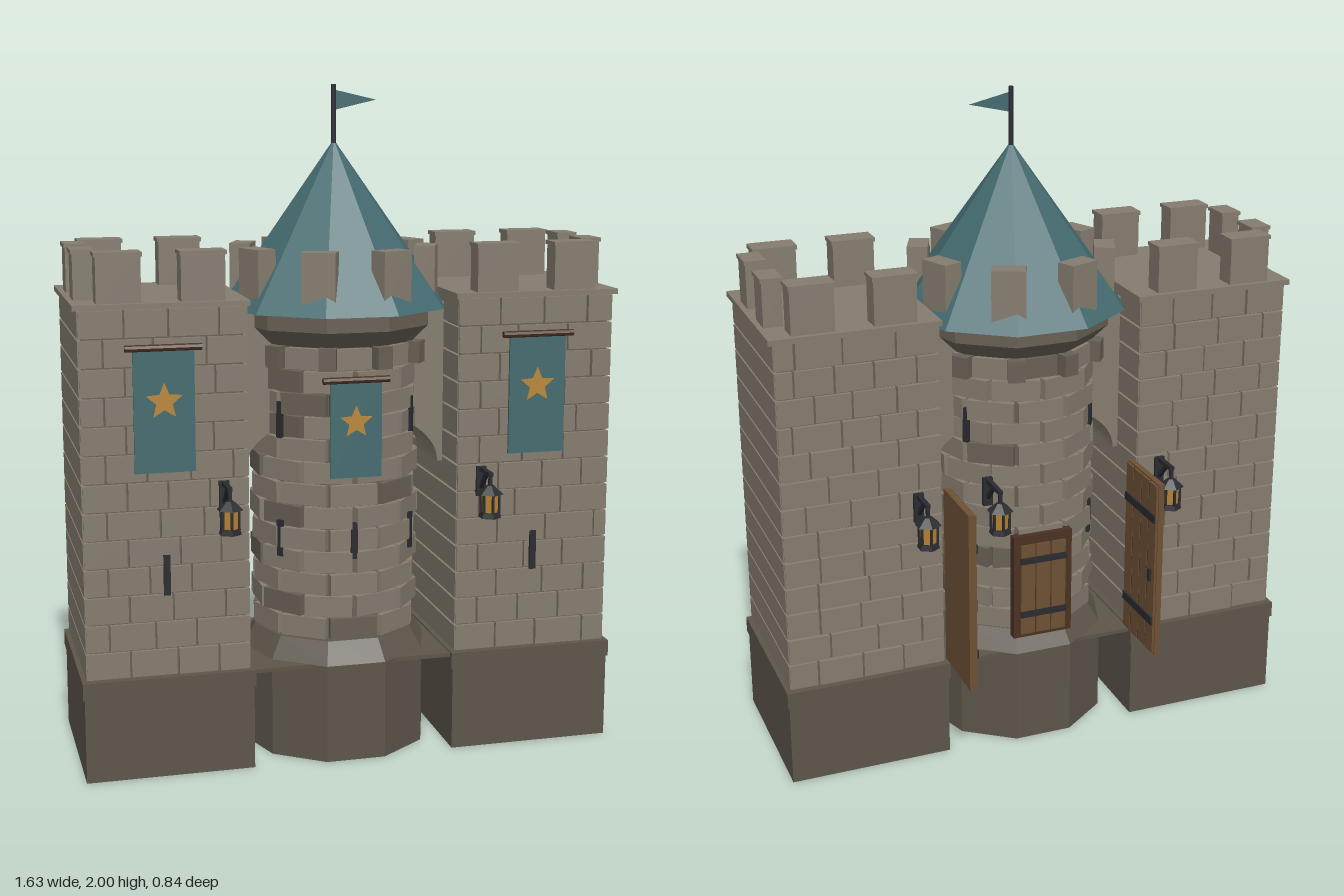
import * as THREE from 'three';

const mat = (name, color, extra = {}) => new THREE.MeshStandardMaterial({ name, color, ...extra });
const M = {
  stone: mat('stone', 0x857c6f),
  mid: mat('shadedStone', 0x686055),
  base: mat('foundationStone', 0x5c554a),
  teal: mat('tealRoofAndCloth', 0x446b70, { side: THREE.DoubleSide }),
  wood: mat('doorWood', 0x6e5135),
  darkWood: mat('darkWood', 0x4a3122),
  iron: mat('iron', 0x2a2b30),
  glow: mat('lanternGlass', 0xb98535),
  gold: mat('goldStar', 0xb9883a),
};
const CZ = 0.045; // depth centre of the castle

function add(parent, name, geo, material, x = 0, y = 0, z = 0) {
  const m = new THREE.Mesh(geo, material);
  m.name = name;
  m.position.set(x, y, z);
  parent.add(m);
  return m;
}
const box = (p, name, material, w, h, d, x, y, z) => add(p, name, new THREE.BoxGeometry(w, h, d), material, x, y, z);
function flat(geo) {
  const g = geo.index ? geo.toNonIndexed() : geo;
  g.computeVertexNormals();
  return g;
}
const prism = (rt, rb, h, n) => flat(new THREE.CylinderGeometry(rt, rb, h, n));
function group(parent, name, x = 0, y = 0, z = 0) {
  const g = new THREE.Group();
  g.name = name;
  g.position.set(x, y, z);
  parent.add(g);
  return g;
}
function seeded(seed) {
  return () => (seed = (seed * 16807) % 2147483647) / 2147483647;
}

// Iron bracket with a hanging hexagonal lantern; the wall is at local z = 0, facing +z
function lantern(parent, x, z, turn, reach = 0.09) {
  const g = group(parent, 'lantern', x, 0, z);
  g.rotation.y = turn;
  box(g, 'wallPlate', M.iron, 0.03, 0.09, 0.012, 0, 0.835, 0.004);
  box(g, 'bracketArm', M.iron, 0.014, 0.012, reach + 0.01, 0, 0.873, reach / 2);
  const brace = box(g, 'bracketBrace', M.iron, 0.012, 0.01, 0.085, 0, 0.842, 0.032);
  brace.rotation.x = -0.8;
  box(g, 'hook', M.iron, 0.01, 0.04, 0.01, 0, 0.855, reach);
  add(g, 'lanternCap', prism(0.012, 0.04, 0.025, 6), M.iron, 0, 0.828, reach);
  add(g, 'lanternGlass', prism(0.027, 0.024, 0.055, 6), M.glow, 0, 0.788, reach);
  add(g, 'lanternFoot', prism(0.03, 0.034, 0.016, 6), M.iron, 0, 0.752, reach);
  for (let i = 0; i < 6; i++) {
    const a = (i * Math.PI) / 3;
    box(g, 'lanternBar', M.iron, 0.007, 0.06, 0.007, Math.sin(a) * 0.027, 0.788, reach + Math.cos(a) * 0.027);
  }
}

// Hanging cloth with a five-pointed star and a wooden rod
function banner(parent, x, top, z, w, h, starR) {
  const g = group(parent, 'banner', x, top, z);
  box(g, 'bannerCloth', M.teal, w, h, 0.008, 0, -h / 2, 0);
  const rod = add(g, 'bannerRod', prism(0.01, 0.01, w + 0.045, 8), M.darkWood, 0, 0.005, 0.005);
  rod.rotation.z = Math.PI / 2;
  const s = new THREE.Shape();
  for (let i = 0; i < 10; i++) {
    const r = i % 2 ? starR * 0.45 : starR, a = (i * Math.PI) / 5;
    s[i ? 'lineTo' : 'moveTo'](Math.sin(a) * r, Math.cos(a) * r);
  }
  add(g, 'bannerStar', new THREE.ExtrudeGeometry(s, { depth: 0.003, bevelEnabled: false }), M.gold, 0, -h * 0.42, 0.004);
}

function merlon(parent, w, d, x, z) {
  box(parent, 'merlon', M.stone, w - 0.008, 0.14, d - 0.008, x, 1.465, z);
  box(parent, 'merlonCap', M.stone, w, 0.012, d, x, 1.537, z);
}

function wing(parent, side) {
  const g = group(parent, side > 0 ? 'leftWing' : 'rightWing');
  const cx = side * 0.5575;
  box(g, 'wingFoundation', M.base, 0.5, 0.29, 0.52, cx, 0.145, CZ);
  box(g, 'foundationLip', M.base, 0.51, 0.05, 0.53, cx, 0.28, CZ);
  box(g, 'wingCore', M.mid, 0.461, 1.09, 0.472, cx, 0.845, CZ);
  // Stone courses: running bond on front and back, long stones on the sides
  const rows = 13, h = 1.08 / rows, rnd = seeded(side > 0 ? 71 : 37);
  for (let i = 0; i < rows; i++) {
    const y = 0.305 + (i + 0.5) * h;
    for (const sx of [-1, 1]) box(g, 'sideCourse', M.stone, 0.014, h - 0.007, 0.49, cx + sx * 0.235, y, CZ);
    for (const sz of [-1, 1]) {
      let x0 = -0.242, w = i % 2 ? 0.07 : 0.13;
      while (x0 < 0.24) {
        let x1 = Math.min(x0 + w, 0.242);
        if (0.242 - x1 < 0.04) x1 = 0.242;
        box(g, 'wallStone', M.stone, x1 - x0 - 0.006, h - 0.006, 0.016, cx + (x0 + x1) / 2, y, CZ + sz * (0.238 + rnd() * 0.005));
        x0 = x1;
        w = 0.11 + rnd() * 0.05;
      }
    }
  }
  box(g, 'parapetSlab', M.stone, 0.505, 0.016, 0.51, cx + side * 0.003, 1.392, CZ);
  for (const sz of [-1, 1]) {
    for (const x of [0.68, 0.44]) merlon(g, 0.135, 0.075, side * x, CZ + sz * 0.205);
    merlon(g, 0.065, 0.095, side * 0.768, CZ + sz * 0.096);
    lantern(g, side * 0.39, CZ + sz * 0.248, sz > 0 ? 0 : Math.PI);
  }
  box(g, 'arrowSlit', M.iron, 0.02, 0.12, 0.008, side * 0.56, 0.61, CZ + 0.251);
  banner(g, side * 0.56, 1.27, CZ + 0.256, 0.175, 0.355, 0.055);
}

// Open gate leaf reaching backwards, with planks and iron bands on its inner face
function gateLeaf(parent, side) {
  const g = group(parent, 'gateLeaf', side * 0.3, 0.597, -0.305);
  box(g, 'leafPanel', M.wood, 0.018, 0.565, 0.215, 0, 0, 0);
  for (let i = 0; i < 4; i++) {
    box(g, 'leafPlank', M.wood, 0.008, 0.555, 0.048, -side * 0.012, 0, -0.08 + i * 0.0533);
    if (i < 3) box(g, 'plankGap', M.darkWood, 0.007, 0.555, 0.006, -side * 0.011, 0, -0.0533 + i * 0.0533);
  }
  for (const y of [-0.17, 0.17]) box(g, 'ironBand', M.iron, 0.007, 0.025, 0.205, -side * 0.018, y, 0);
  box(g, 'gateHandle', M.iron, 0.012, 0.04, 0.012, -side * 0.018, -0.02, -0.08);
}

function tower(parent) {
  const g = group(parent, 'tower', 0, 0, CZ);
  const turn = Math.PI / 10;
  const lathe = (name, material, pts) => {
    const geo = flat(new THREE.LatheGeometry(pts.map(([r, y]) => new THREE.Vector2(r, y)), 10));
    add(g, name, geo, material).rotation.y = turn;
  };
  // Place a box on the round wall at an angle from the front
  const around = (name, material, w, h, d, a, r, y) => {
    box(g, name, material, w, h, d, Math.sin(a) * r, y, Math.cos(a) * r).rotation.y = a;
  };
  lathe('towerFoundation', M.base, [[0, 0], [0.29, 0], [0.29, 0.3], [0.25, 0.365], [0, 0.365]]);
  lathe('towerCore', M.mid, [[0.238, 0.36], [0.238, 1.28]]);
  lathe('towerCollar', M.mid, [[0.23, 1.25], [0.25, 1.25], [0.3, 1.3], [0.3, 1.36], [0, 1.36]]);

  // Stone rings, every second one turned by half a stone
  const rnd = seeded(19), rows = 13, h = 0.88 / rows;
  for (let i = 0; i < rows; i++) {
    for (let k = 0; k < 10; k++) {
      const a = ((k + (i % 2) / 2) * Math.PI) / 5;
      around('towerStone', rnd() < 0.1 ? M.mid : M.stone, 0.143, h - 0.005, 0.03, a, 0.227 + rnd() * 0.006, 0.37 + (i + 0.5) * h);
    }
  }
  for (let k = 0; k < 10; k++) around('corbel', M.mid, 0.05, 0.065, 0.06, ((k + 0.5) * Math.PI) / 5, 0.253, 1.22);
  for (const deg of [-126, -54, 54, 126]) {
    for (const y of [1.03, 0.67]) around('arrowSlit', M.iron, 0.02, 0.11, 0.01, (deg * Math.PI) / 180, 0.249, y);
  }
  around('arrowSlit', M.iron, 0.02, 0.11, 0.01, 0, 0.249, 0.675);

  // Conical roof with merlons rising through it
  lathe('roof', M.teal, [[0, 1.35], [0.35, 1.35], [0, 1.84]]);
  for (let k = 0; k < 8; k++) around('towerMerlon', M.stone, 0.1, 0.16, 0.062, ((k + 0.5) * Math.PI) / 4, 0.278, 1.452);
  add(g, 'flagPole', prism(0.008, 0.008, 0.19, 8), M.iron, 0, 1.905, 0);
  const pennant = new THREE.Shape([[0, 1.985], [0, 1.925], [0.13, 1.955]].map((p) => new THREE.Vector2(...p)));
  add(g, 'pennant', new THREE.ShapeGeometry(pennant), M.teal);
  banner(g, 0, 1.155, 0.262, 0.155, 0.285, 0.05);

  // Back door with frame, planks and bands
  const d = group(g, 'backDoor', 0, 0.52, -0.25);
  box(d, 'doorFrame', M.darkWood, 0.19, 0.34, 0.03, 0, 0, 0);
  for (const x of [-0.05, 0, 0.05]) box(d, 'doorPlank', M.wood, 0.046, 0.3, 0.01, x, -0.008, -0.015);
  for (const y of [-0.09, 0.09]) box(d, 'doorBand', M.iron, 0.15, 0.02, 0.008, 0, y, -0.021);
  lantern(g, 0.16, -0.21, Math.PI, 0.11);
}

// Arched wall joining the two wings through the tower
function gateway(parent) {
  const s = new THREE.Shape();
  s.moveTo(-0.33, 0.87);
  s.lineTo(-0.3, 0.87);
  s.absellipse(0, 0.87, 0.3, 0.17, Math.PI, 0, true);
  s.lineTo(0.33, 0.87);
  s.lineTo(0.33, 1.36);
  s.lineTo(-0.33, 1.36);
  const geo = new THREE.ExtrudeGeometry(s, { depth: 0.21, bevelEnabled: false, curveSegments: 16 });
  add(parent, 'gatewayArch', geo, M.stone, 0, 0, CZ - 0.105);
  box(parent, 'gatewayFloor', M.base, 0.63, 0.012, 0.495, 0, 0.295, CZ);
}

export function createModel() {
  const root = new THREE.Group();
  root.name = 'gatehouse';
  for (const side of [-1, 1]) {
    wing(root, side);
    gateLeaf(root, side);
  }
  gateway(root);
  tower(root);
  return root;
}
